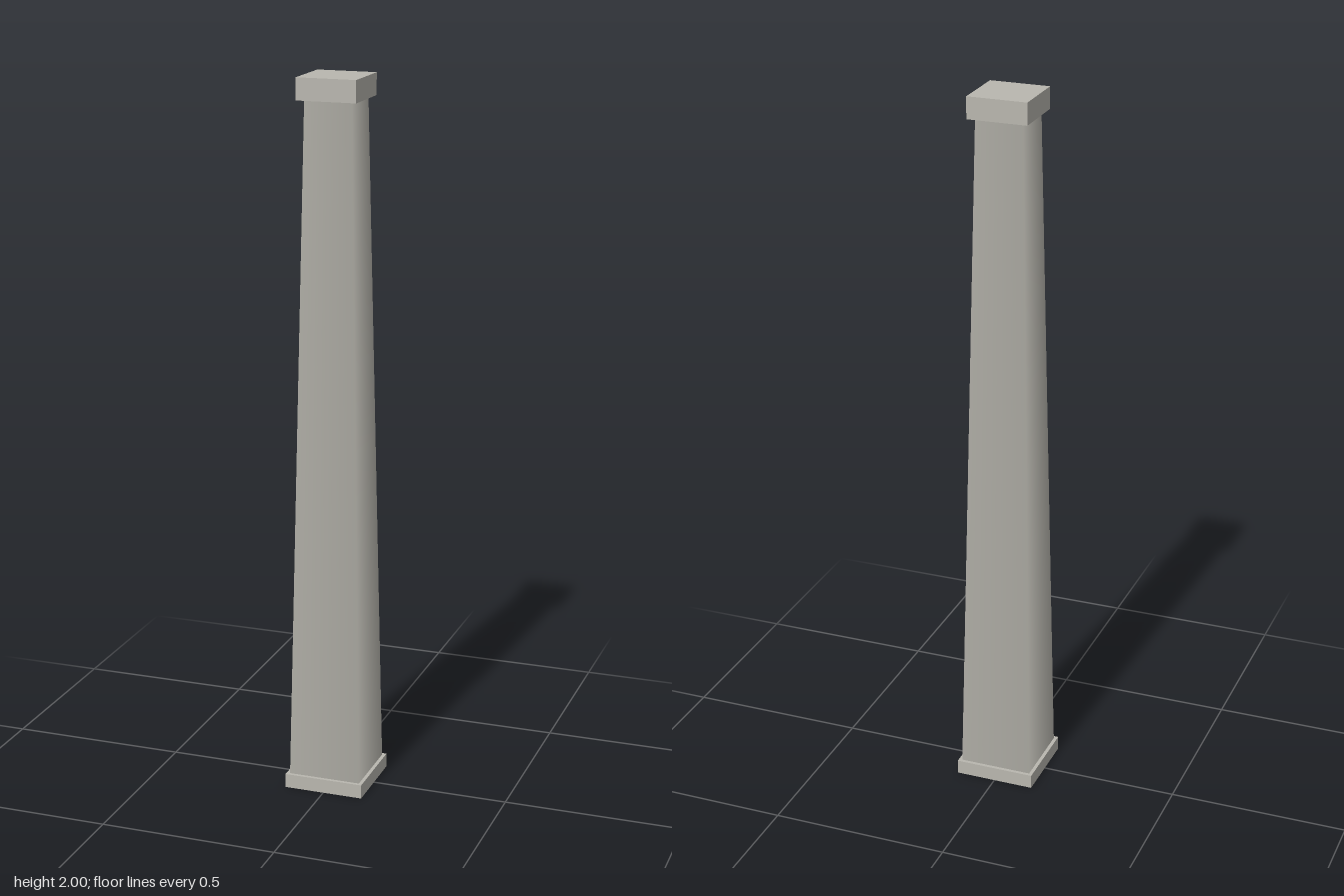
import * as THREE from 'three';

export function createModel() {
  const group = new THREE.Group();
  const stone = new THREE.MeshStandardMaterial({ color: 0xb9b7af });
  stone.name = 'paleStone';

  const add = (name, geometry, y) => {
    const mesh = new THREE.Mesh(geometry, stone);
    mesh.name = name;
    mesh.position.y = y;
    group.add(mesh);
  };

  const baseHeight = 0.04, capHeight = 0.06;
  const shaftHeight = 2 - baseHeight - capHeight;

  // Square plinth and capital
  add('base', new THREE.BoxGeometry(0.226, baseHeight, 0.226), baseHeight / 2);
  add('capital', new THREE.BoxGeometry(0.166, capHeight, 0.166), 2 - capHeight / 2);

  // Tapered four-sided shaft with smooth normals, turned so its faces point along the axes
  const shaft = new THREE.CylinderGeometry(
    0.066 * Math.SQRT2, 0.103 * Math.SQRT2, shaftHeight, 4, 8, true);
  shaft.rotateY(Math.PI / 4);
  add('shaft', shaft, baseHeight + shaftHeight / 2);

  return group;
}
